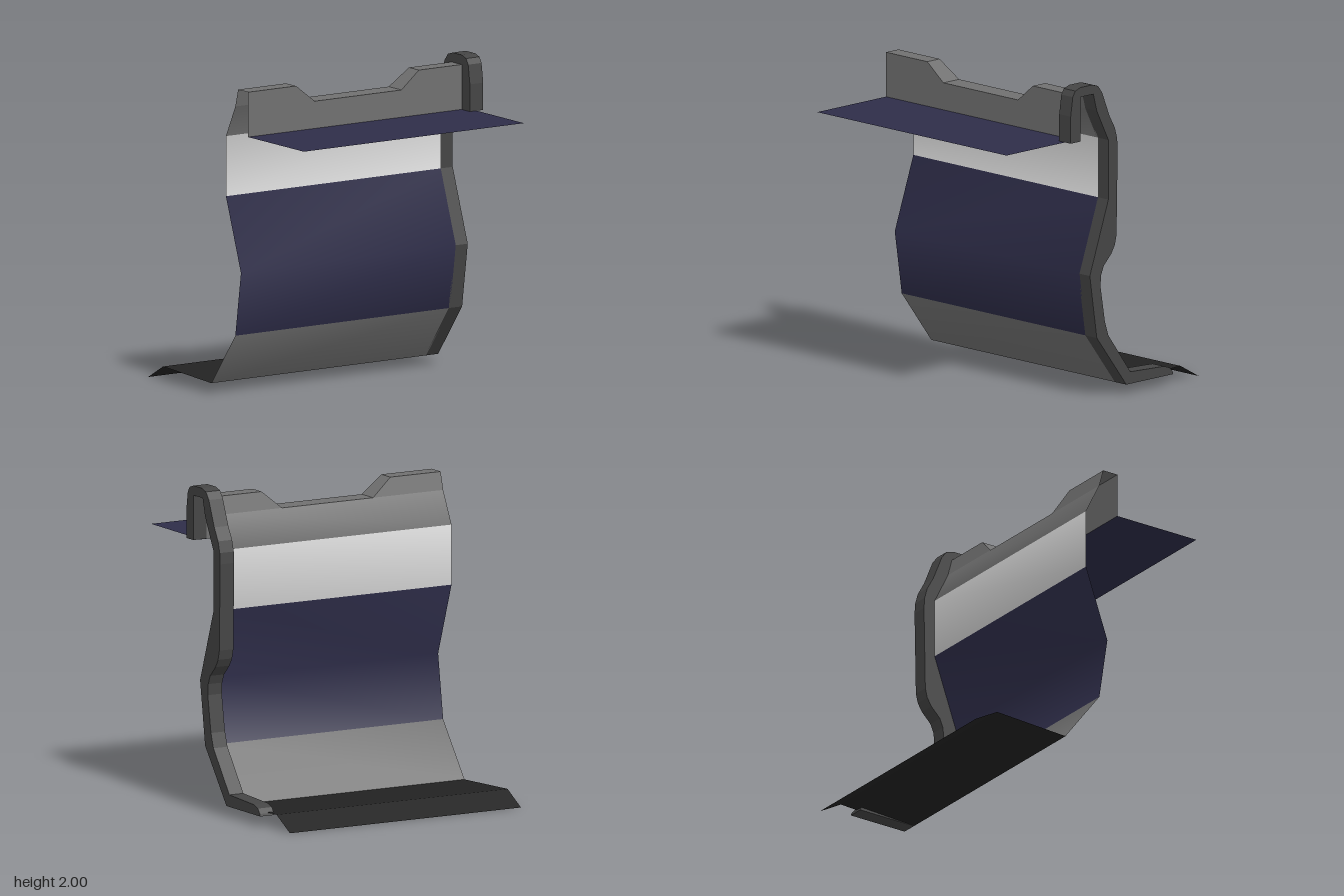
import * as THREE from 'three';

const mat = (name, color) => {
  const m = new THREE.MeshStandardMaterial({ color, side: THREE.DoubleSide });
  m.name = name;
  return m;
};

// Grid surface through rows of [x, y, z] points; optional material index per strip
function loft(rows, smooth, stripMaterials) {
  const n = rows[0].length, index = [];
  let geo = new THREE.BufferGeometry();
  geo.setAttribute('position', new THREE.Float32BufferAttribute(rows.flat(2), 3));
  for (let r = 0; r < rows.length - 1; r++) {
    if (stripMaterials) geo.addGroup(index.length, (n - 1) * 6, stripMaterials[r]);
    for (let i = 0; i < n - 1; i++) {
      const a = r * n + i, b = a + n;
      index.push(a, b, a + 1, b, b + 1, a + 1);
    }
  }
  geo.setIndex(index);
  if (!smooth) geo = geo.toNonIndexed();
  geo.computeVertexNormals();
  return geo;
}

// Sheet spanning x0..x1 along a [z, y] profile
const sheetRows = (profile, x0, x1) => profile.map(([z, y]) => [[x0, y, z], [x1, y, z]]);

export function createModel() {
  const group = new THREE.Group();
  const grey = mat('panel grey', 0x707070);
  const white = mat('pale panel', 0xd8d8d8);
  const navy = mat('navy', 0x2e2d49);
  const charcoal = mat('bracket charcoal', 0x454545);
  const black = mat('floor black', 0x222222);
  const add = (name, geo, material) => {
    const mesh = new THREE.Mesh(geo, material);
    mesh.name = name;
    group.add(mesh);
  };

  // Bent wall sheet, coloured strip by strip from top to bottom
  const wall = [[0.1, 1.83], [0, 1.63], [0, 1.255], [0.16, 0.8], [0.1, 0.4], [-0.155, 0.065]];
  add('wallPanel', loft(sheetRows(wall, -0.85, 0.76), true, [0, 1, 2, 2, 0]), [grey, white, navy]);

  // Header shell with a shallow notch: front face, top cap and sloping back
  const top = [[-0.85, 1.94], [-0.49, 1.94], [-0.35, 1.83], [0.3, 1.83], [0.43, 1.94], [0.76, 1.94]];
  const backZ = y => 0.1 + (y - 1.83) * 0.27;
  const frontTop = top.map(([x, y]) => [x, y, 0.236]);
  const backTop = top.map(([x, y]) => [x, y, backZ(y)]);
  add('header', loft([
    top.map(([x]) => [x, 1.66, 0.236]),
    frontTop,
    backTop,
    top.map(([x]) => [x, 1.83, 0.1]),
  ], false), grey);

  // Flat awning and the floor with its turned-down rear edge
  add('awning', loft(sheetRows([[0.236, 1.66], [0.83, 1.66]], -0.85, 0.8), false), navy);
  add('floor', loft(sheetRows([[-0.155, 0.065], [-0.67, 0.09], [-0.83, 0]], -0.85, 0.8), false), black);

  // Hooked side bracket, [z, y] outline: inner edge up, hook, outer edge down
  const outline = [
    [-0.56, 0.065], [-0.155, 0.065], [0.1, 0.4], [0.16, 0.8], [0, 1.255], [0, 1.63], [0.1, 1.83],
    [0.13, 1.94], [0.24, 1.94], [0.24, 1.66], [0.325, 1.66], [0.325, 1.83], [0.307, 1.95],
    [0.285, 1.985], [0.24, 2], [0.14, 2], [0.09, 1.985], [0.055, 1.94], [-0.01, 1.78],
    [-0.055, 1.7], [-0.075, 1.63], [-0.08, 1.56], [-0.07, 1.02], [-0.055, 0.96], [-0.025, 0.91],
    [0.04, 0.845], [0.063, 0.79], [0.068, 0.72], [0.03, 0.49], [0, 0.4], [-0.19, 0.14],
    [-0.48, 0.127], [-0.53, 0.11], [-0.555, 0.08],
  ];
  const shape = new THREE.Shape(outline.map(([z, y]) => new THREE.Vector2(-z, y)));
  const bracket = new THREE.ExtrudeGeometry(shape, { depth: 0.1, bevelEnabled: false });
  bracket.rotateY(Math.PI / 2).translate(0.75, 0, 0);
  add('sideBracket', bracket, charcoal);

  return group;
}
